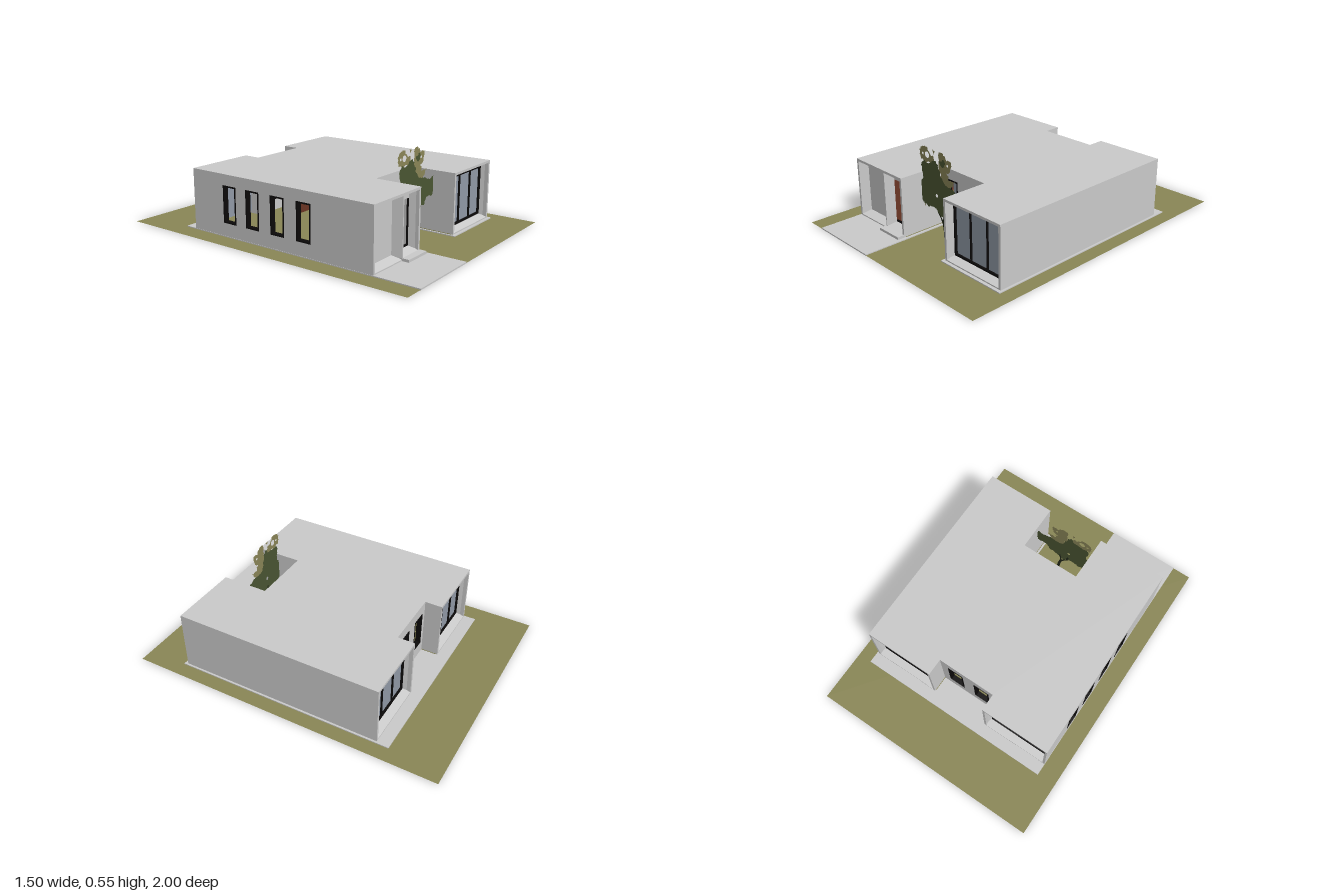
import * as THREE from 'three';

const mat = (name, color, side = THREE.FrontSide) => {
  const m = new THREE.MeshStandardMaterial({ color, side });
  m.name = name;
  return m;
};

export function createModel() {
  const D = THREE.DoubleSide;
  const concrete = mat('concrete', 0xcbcbcb, D);
  const grass = mat('grass', 0x8a8756, D);
  const black = mat('black frame', 0x0c0a0a);
  const glass = mat('glass', 0x929ba8, D);
  const brown = mat('brown wood', 0x6b3524);
  const leafGreen = mat('green leaves', 0x4b5633, D);
  const leafYellow = mat('yellow leaves', 0x8b8658, D);
  const bark = mat('bark', 0x232a1a, D);

  const model = new THREE.Group();
  model.name = 'courtyardHouse';
  const add = (parent, geo, material, name) => {
    const m = new THREE.Mesh(geo, material);
    m.name = name;
    parent.add(m);
    return m;
  };
  // Box given by its min and max corners
  const box = (parent, name, material, x1, x2, y1, y2, z1, z2) => {
    const m = add(parent, new THREE.BoxGeometry(x2 - x1, y2 - y1, z2 - z1), material, name);
    m.position.set((x1 + x2) / 2, (y1 + y2) / 2, (z1 + z2) / 2);
    return m;
  };
  // Horizontal slab from a plan outline of [x, z] points
  const slab = (name, material, plan, y1, y2) => {
    const s = new THREE.Shape(plan.map(([x, z]) => new THREE.Vector2(x, -z)));
    const g = new THREE.ExtrudeGeometry(s, { depth: y2 - y1, bevelEnabled: false });
    add(model, g.rotateX(-Math.PI / 2).translate(0, y1, 0), material, name);
  };

  // Site
  const lawn = new THREE.PlaneGeometry(1.5, 2).rotateX(-Math.PI / 2).translate(0, 0.002, 0);
  add(model, lawn, grass, 'lawn');
  slab('paving', concrete, [[-0.63, 1], [-0.16, 1], [-0.16, 0.435], [0.185, 0.435],
    [0.185, 0.74], [0.66, 0.74], [0.66, -0.665], [-0.63, -0.665]], 0, 0.008);
  box(model, 'entranceStep', concrete, -0.36, -0.18, 0.008, 0.024, 0.70, 0.765);

  // House outline, anticlockwise from the front right corner
  const plan = [[-0.628, 0.72], [-0.18, 0.72], [-0.18, 0.425], [0.2, 0.425], [0.2, 0.72], [0.648, 0.72],
    [0.648, -0.588], [0.2, -0.588], [0.2, -0.48], [-0.18, -0.48], [-0.18, -0.588], [-0.628, -0.588]];
  slab('roof', concrete, plan, 0.368, 0.382);
  slab('innerFloor', grass, plan.map(([x, z]) => [x * 0.985, z * 0.985]), 0.008, 0.011);

  const rect = (C, u1, u2, y1, y2) => {
    const p = new C();
    p.moveTo(u1, y1).lineTo(u2, y1).lineTo(u2, y2).lineTo(u1, y2).closePath();
    return p;
  };
  const T = 0.015, DEEP = 0.06, IN = 0.017;

  // Rectangular ring of four bars
  const ring = (g, name, u1, u2, y1, y2, w, z1, z2, top = w) => {
    box(g, name, black, u1, u2, y1, y1 + w, z1, z2);
    box(g, name, black, u1, u2, y2 - top, y2, z1, z2);
    box(g, name, black, u1, u1 + w, y1 + w, y2 - top, z1, z2);
    box(g, name, black, u2 - w, u2, y1 + w, y2 - top, z1, z2);
  };
  // Sloping reveal from the wall face to a smaller rectangle further in
  const reveal = (g, [u1, u2, y1, y2]) => {
    const o = [[u1, y1], [u2, y1], [u2, y2], [u1, y2]];
    const i = [[u1 + IN, y1 + IN], [u2 - IN, y1 + IN], [u2 - IN, y2 - IN], [u1 + IN, y2 - IN]];
    const p = [];
    for (let k = 0; k < 4; k++) {
      const n = (k + 1) % 4;
      const a = [...o[k], 0], b = [...o[n], 0], c = [...i[n], -DEEP], d = [...i[k], -DEEP];
      p.push(...a, ...b, ...c, ...a, ...c, ...d);
    }
    const geo = new THREE.BufferGeometry();
    geo.setAttribute('position', new THREE.Float32BufferAttribute(p, 3));
    geo.computeVertexNormals();
    add(g, geo, concrete, 'reveal');
    return [u1 + IN, u2 - IN, y1 + IN, y2 - IN];
  };

  const fittings = {
    // Three tall panes in a black frame
    glazing(g, hole) {
      const [u1, u2, y1, y2] = reveal(g, hole);
      box(g, 'glassPane', glass, u1, u2, y1, y2, -DEEP - 0.004, -DEEP);
      ring(g, 'glazingFrame', u1, u2, y1, y2, 0.012, -DEEP, -DEEP + 0.012, 0.016);
      for (const k of [1, 2]) {
        const u = u1 + (u2 - u1) * k / 3;
        box(g, 'mullion', black, u - 0.004, u + 0.004, y1, y2, -DEEP, -DEEP + 0.01);
      }
    },
    garage(g, hole) {
      const [u1, u2, y1, y2] = reveal(g, hole);
      box(g, 'garageDoor', concrete, u1, u2, y1, y2, -DEEP - 0.008, -DEEP);
    },
    // Open doorway with a solid panel above
    entrance(g, hole) {
      const [u1, u2, y1, y2] = reveal(g, hole);
      box(g, 'transomPanel', concrete, u1, u2, 0.315, y2, -DEEP - 0.01, -DEEP);
      box(g, 'threshold', black, u1, u2, y1, y1 + 0.01, -DEEP - 0.01, -DEEP);
      box(g, 'doorPost', black, u2 - 0.005, u2, y1, 0.315, -DEEP - 0.01, -DEEP);
    },
    window(g, [u1, u2, y1, y2]) {
      ring(g, 'windowFrame', u1, u2, y1, y2, 0.009, -0.03, 0.002);
    },
    // Window with one half glazed
    slidingWindow(g, hole) {
      fittings.window(g, hole);
      const [u1, u2, y1, y2] = hole;
      box(g, 'slidingPane', glass, (u1 + u2) / 2, u2, y1, y2, -0.014, -0.01);
    },
  };

  // Openings by wall: [kind, start, end, bottom, top] measured along the wall
  const bay = ['glazing', 0.008, 0.44, 0.015, 0.367];
  const openings = {
    0: [['garage', 0.012, 0.272, 0.015, 0.367], ['entrance', 0.279, 0.439, 0.024, 0.367]],
    2: [['slidingWindow', 0.048, 0.146, 0.088, 0.315]],
    4: [bay],
    6: [bay],
    8: [['window', 0.053, 0.16, 0.088, 0.315], ['window', 0.24, 0.347, 0.088, 0.315]],
    10: [bay],
    11: [0.246, 0.425, 0.612, 0.80].map(u => ['window', u, u + 0.1, 0.088, 0.315]),
  };
  plan.forEach(([x1, z1], k) => {
    const [x2, z2] = plan[(k + 1) % plan.length];
    const g = new THREE.Group();
    g.name = 'wall' + (k + 1);
    g.position.set(x1, 0, z1);
    g.rotation.y = Math.atan2(z1 - z2, x2 - x1);
    model.add(g);
    const shape = rect(THREE.Shape, 0, Math.hypot(x2 - x1, z2 - z1), 0.006, 0.37);
    for (const [kind, ...hole] of openings[k] || []) {
      shape.holes.push(rect(THREE.Path, ...hole));
      fittings[kind](g, hole);
    }
    const geo = new THREE.ExtrudeGeometry(shape, { depth: T, bevelEnabled: false });
    add(g, geo.translate(0, 0, -T), concrete, 'wallPanel');
  });

  // Inner partitions
  box(model, 'hallPartition', brown, -0.36, -0.35, 0.011, 0.315, 0.2, 0.65);
  box(model, 'roomPartition', brown, 0.0, 0.63, 0.011, 0.368, -0.29, -0.28);

  // Flat tree with ragged foliage
  let seed = 7;
  const rnd = () => (seed = (seed * 16807) % 2147483647) / 2147483647 - 0.5;
  const ragged = (pts, levels = 3, amount = 0.5) => {
    for (let l = 0; l < levels; l++) {
      pts = pts.flatMap(([x, y], i) => {
        const [X, Y] = pts[(i + 1) % pts.length], r = rnd() * amount;
        return [[x, y], [(x + X) / 2 + (Y - y) * r, (y + Y) / 2 - (X - x) * r]];
      });
    }
    return pts.map(p => new THREE.Vector2(...p));
  };
  const tree = new THREE.Group();
  tree.name = 'tree';
  tree.position.z = 0.575;
  model.add(tree);
  const foliage = (name, material, pts, z, holes = []) => {
    const s = new THREE.Shape(ragged(pts));
    for (const [x, y, r] of holes) s.holes.push(new THREE.Path().absarc(x, y, r, 0, Math.PI * 2, true));
    add(tree, new THREE.ShapeGeometry(s, 5).translate(0, 0, z), material, name);
  };
  foliage('crown', leafGreen, [[-0.17, 0.41], [-0.14, 0.47], [-0.09, 0.465], [-0.04, 0.49], [-0.01, 0.44],
    [0.03, 0.37], [0.09, 0.355], [0.13, 0.34], [0.2, 0.35], [0.23, 0.29], [0.19, 0.23], [0.13, 0.235],
    [0.1, 0.19], [0.04, 0.18], [0.0, 0.155], [-0.05, 0.19], [-0.12, 0.18], [-0.17, 0.2],
    [-0.2, 0.26], [-0.265, 0.28], [-0.26, 0.315], [-0.18, 0.33]], 0, [[-0.04, 0.275, 0.011]]);
  foliage('leftTuft', leafYellow, [[-0.19, 0.52], [-0.15, 0.55], [-0.11, 0.55], [-0.06, 0.51], [-0.05, 0.47],
    [-0.09, 0.465], [-0.14, 0.455], [-0.18, 0.47]], -0.003, [[-0.12, 0.505, 0.02], [-0.158, 0.505, 0.008]]);
  foliage('rightTuft', leafYellow, [[-0.02, 0.53], [0.02, 0.55], [0.05, 0.51], [0.09, 0.52], [0.085, 0.47],
    [0.05, 0.44], [0.07, 0.4], [0.13, 0.41], [0.1, 0.37], [0.03, 0.36], [0.0, 0.42], [-0.02, 0.46]], -0.003,
  [[0.06, 0.485, 0.008]]);
  foliage('topSprig', leafYellow, [[-0.07, 0.55], [-0.045, 0.545], [-0.055, 0.515]], -0.003);
  foliage('darkTuft', leafGreen, [[0.0, 0.5], [0.025, 0.515], [0.045, 0.49], [0.025, 0.465], [0.005, 0.475]], 0.001);
  foliage('lowSprig', leafYellow, [[-0.175, 0.2], [-0.15, 0.19], [-0.155, 0.155]], -0.002);

  // Trunk and branches as flat tapering strips
  const strip = (name, pts, w0, w1) => {
    const side = s => pts.map(([x, y], i) =>
      new THREE.Vector2(x + s * (w0 + (w1 - w0) * i / (pts.length - 1)), y));
    const s = new THREE.Shape([...side(1), ...side(-1).reverse()]);
    add(tree, new THREE.ShapeGeometry(s).translate(0, 0, -0.001), bark, name);
  };
  strip('trunk', [[0.022, 0.004], [0.02, 0.06], [0.012, 0.11], [-0.005, 0.14], [-0.03, 0.17], [-0.04, 0.22]], 0.01, 0.005);
  strip('branch', [[0.013, 0.1], [0.01, 0.14], [0.02, 0.2]], 0.006, 0.004);
  return model;
}
